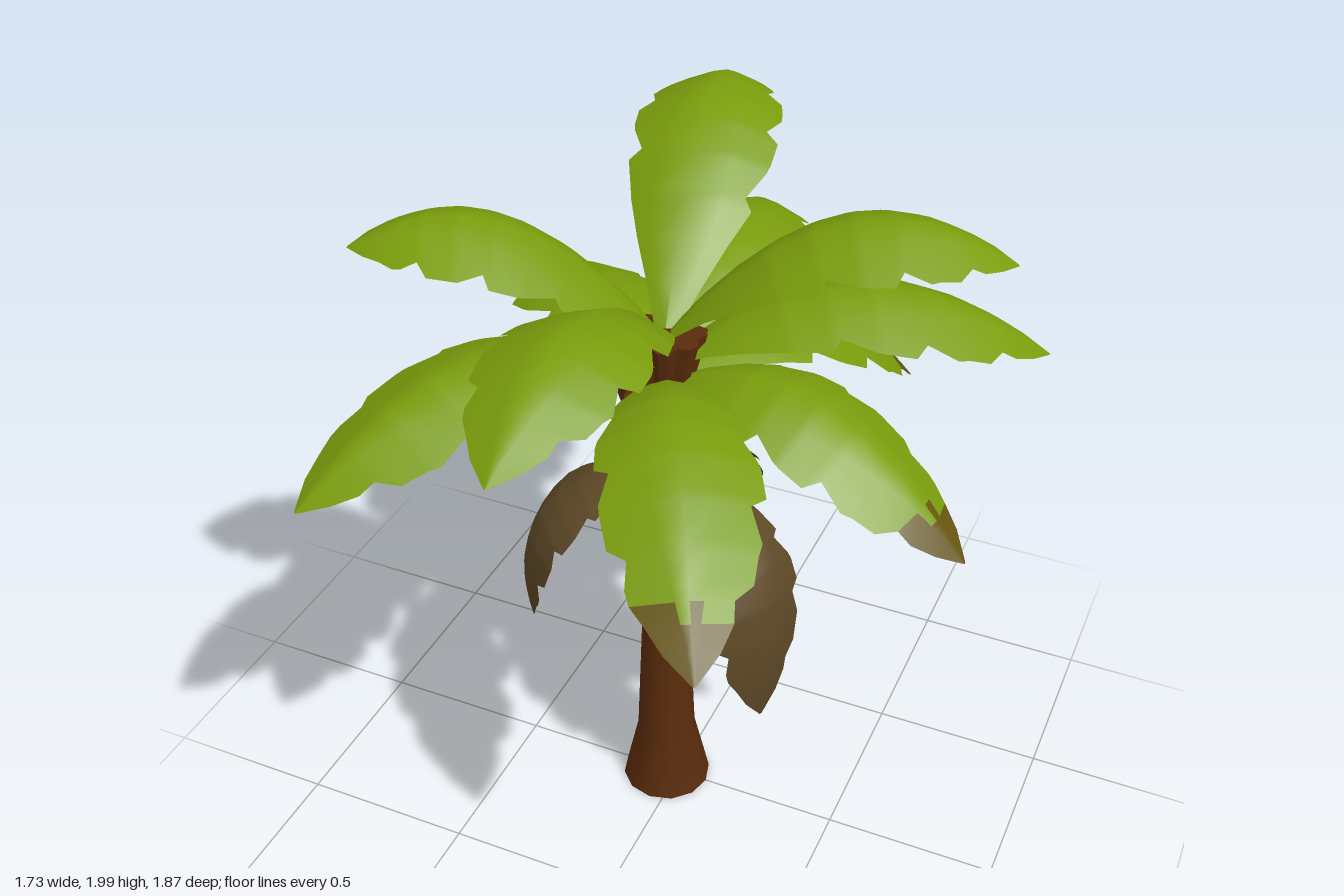
import * as THREE from 'three';

const bark = new THREE.MeshStandardMaterial({ color: 0x5a2c0c, side: THREE.DoubleSide });
bark.name = 'bark brown';
const green = new THREE.MeshStandardMaterial({ color: 0x7a9c0c, side: THREE.DoubleSide });
green.name = 'leaf green';
const withered = new THREE.MeshStandardMaterial({ color: 0x66560f, side: THREE.DoubleSide });
withered.name = 'withered tip';
const dead = new THREE.MeshStandardMaterial({ color: 0x5d4826, side: THREE.DoubleSide });
dead.name = 'dead leaf brown';

const CX = -0.04; // trunk axis

// Ragged leaf outline: [distance along leaf, left width, right width]
const OUTLINE = [
  [0, 0.15, 0.15], [0.08, 0.38, 0.35], [0.17, 0.62, 0.58], [0.26, 0.84, 0.76], [0.29, 0.74, 0.8],
  [0.38, 0.94, 0.92], [0.41, 0.97, 0.76], [0.5, 1, 0.95], [0.53, 0.83, 0.98], [0.62, 0.97, 1],
  [0.65, 0.96, 0.8], [0.74, 0.9, 0.9], [0.77, 0.68, 0.84], [0.83, 0.72, 0.76], [0.86, 0.68, 0.52],
  [0.9, 0.52, 0.5], [0.95, 0.33, 0.32], [1, 0.02, 0.02],
];
const COLUMNS = [-1, -0.5, 0, 0.5, 1];
const TIP_START = 14;

// Arched leaf: a bent spine carrying roof-shaped cross-sections
function leaf(name, { tip, baseY, midY, bend = 0.5, half = 0.2, fold = 0.4, flip = false, materials }) {
  const base = new THREE.Vector3(CX, baseY, 0);
  const end = new THREE.Vector3(...tip);
  const out = new THREE.Vector3(end.x - CX, 0, end.z).normalize();
  base.addScaledVector(out, 0.015);
  const mid = base.clone().lerp(end, bend).setY(midY);
  const control = mid.multiplyScalar(2).addScaledVector(base, -0.5).addScaledVector(end, -0.5);
  const spine = new THREE.QuadraticBezierCurve3(base, control, end);
  const side = new THREE.Vector3(0, 1, 0).cross(out);

  const positions = [];
  for (const [t, a, b] of OUTLINE) {
    const p = spine.getPoint(t);
    const normal = spine.getTangent(t).cross(side).normalize();
    const [left, right] = flip ? [b, a] : [a, b];
    const smooth = Math.sin(Math.PI * Math.pow(t, 0.75)); // inner columns ignore the notches
    for (const u of COLUMNS) {
      const edge = u < 0 ? left : right;
      const w = u * half * (Math.abs(u) === 1 ? edge : smooth);
      const drop = fold * half * Math.pow(Math.abs(w) / half, 1.4);
      const v = p.clone().addScaledVector(side, w).addScaledVector(normal, -drop);
      positions.push(v.x, v.y, v.z);
    }
  }

  // Faces are sorted into the blade and its jagged-edged tip
  const blade = [], point = [];
  const n = COLUMNS.length;
  for (let i = 0; i < OUTLINE.length - 1; i++) {
    for (let j = 0; j < n - 1; j++) {
      const a = i * n + j, b = a + n;
      const list = i >= TIP_START + (j % 2) ? point : blade;
      list.push(a, b, a + 1, b, b + 1, a + 1);
    }
  }
  const g = new THREE.BufferGeometry();
  g.setAttribute('position', new THREE.Float32BufferAttribute(positions, 3));
  g.setIndex([...blade, ...point]);
  g.addGroup(0, blade.length, 0);
  g.addGroup(blade.length, point.length, 1);
  g.computeVertexNormals();
  const mesh = new THREE.Mesh(g, materials);
  mesh.name = name;
  return mesh;
}

// Fluted cup of cut leaf stalks
function stalkCup(name, bottomY, topY, bottomR, topR) {
  const sides = 24, h = topY - bottomY;
  let g = new THREE.CylinderGeometry(topR, bottomR, h, sides, 1);
  const p = g.attributes.position;
  for (let i = 0; i < p.count; i++) {
    const x = p.getX(i), z = p.getZ(i);
    const k = Math.round((Math.atan2(z, x) / (2 * Math.PI)) * sides + sides);
    if (k % 3 === 0) p.setXYZ(i, x * 0.8, p.getY(i), z * 0.8);
  }
  g = g.toNonIndexed();
  g.computeVertexNormals();
  const mesh = new THREE.Mesh(g, bark);
  mesh.name = name;
  mesh.position.set(CX, bottomY + h / 2, 0);
  return mesh;
}

export function createModel() {
  const model = new THREE.Group();
  model.name = 'palmTree';

  // Hollow trunk with flared foot
  const profile = [[0.132, 0], [0.086, 0.21], [0.07, 0.6], [0.056, 1.0], [0.052, 1.24]];
  const trunk = new THREE.Mesh(
    new THREE.LatheGeometry(profile.map(([r, y]) => new THREE.Vector2(r, y)), 12), bark);
  trunk.name = 'trunk';
  trunk.position.x = CX;
  model.add(trunk);

  // Crown of stalks
  model.add(stalkCup('lowerStalks', 1.18, 1.44, 0.055, 0.132));
  model.add(stalkCup('upperStalks', 1.38, 1.59, 0.06, 0.112));

  // Leaf tiers: tip position and height of the arch
  const tiers = [
    { name: 'topLeaf', baseY: 1.59, materials: [green, green], leaves: [
      [[-0.23, 1.89, -0.92], 1.97], [[-0.74, 1.85, 0.34], 1.91],
      [[-0.04, 1.72, 0.93], 1.88], [[0.77, 1.78, -0.36], 1.9]] },
    { name: 'middleLeaf', baseY: 1.51, materials: [green, green], leaves: [
      [[-0.57, 1.48, 0.91], 1.71], [[0.86, 1.48, -0.47], 1.7], [[-0.08, 1.48, -0.94], 1.69]] },
    { name: 'lowerLeaf', baseY: 1.46, materials: [green, green], leaves: [
      [[-0.79, 1.27, -0.65], 1.51]] },
    { name: 'witheringLeaf', baseY: 1.45, materials: [green, withered], leaves: [
      [[-0.87, 1.12, 0.12], 1.49], [[0.83, 1.2, 0.12], 1.53],
      [[0.42, 1.27, 0.87], 1.59], [[0.39, 1.08, -0.84], 1.48]] },
  ];
  for (const { name, baseY, materials, leaves } of tiers) {
    leaves.forEach(([tip, midY], i) => {
      model.add(leaf(`${name}${i + 1}`, { tip, baseY, midY, materials, flip: i % 2 === 1 }));
    });
  }

  // Hanging dead leaves
  const hanging = [[0.34, 0.57, 0.21], [-0.37, 0.67, 0.19], [-0.05, 0.62, -0.42]];
  hanging.forEach((tip, i) => {
    model.add(leaf(`deadLeaf${i + 1}`, {
      tip, baseY: 1.18, midY: 1.04, bend: 0.89, half: 0.16, fold: 0.35,
      flip: i === 1, materials: [dead, dead],
    }));
  });
  return model;
}
